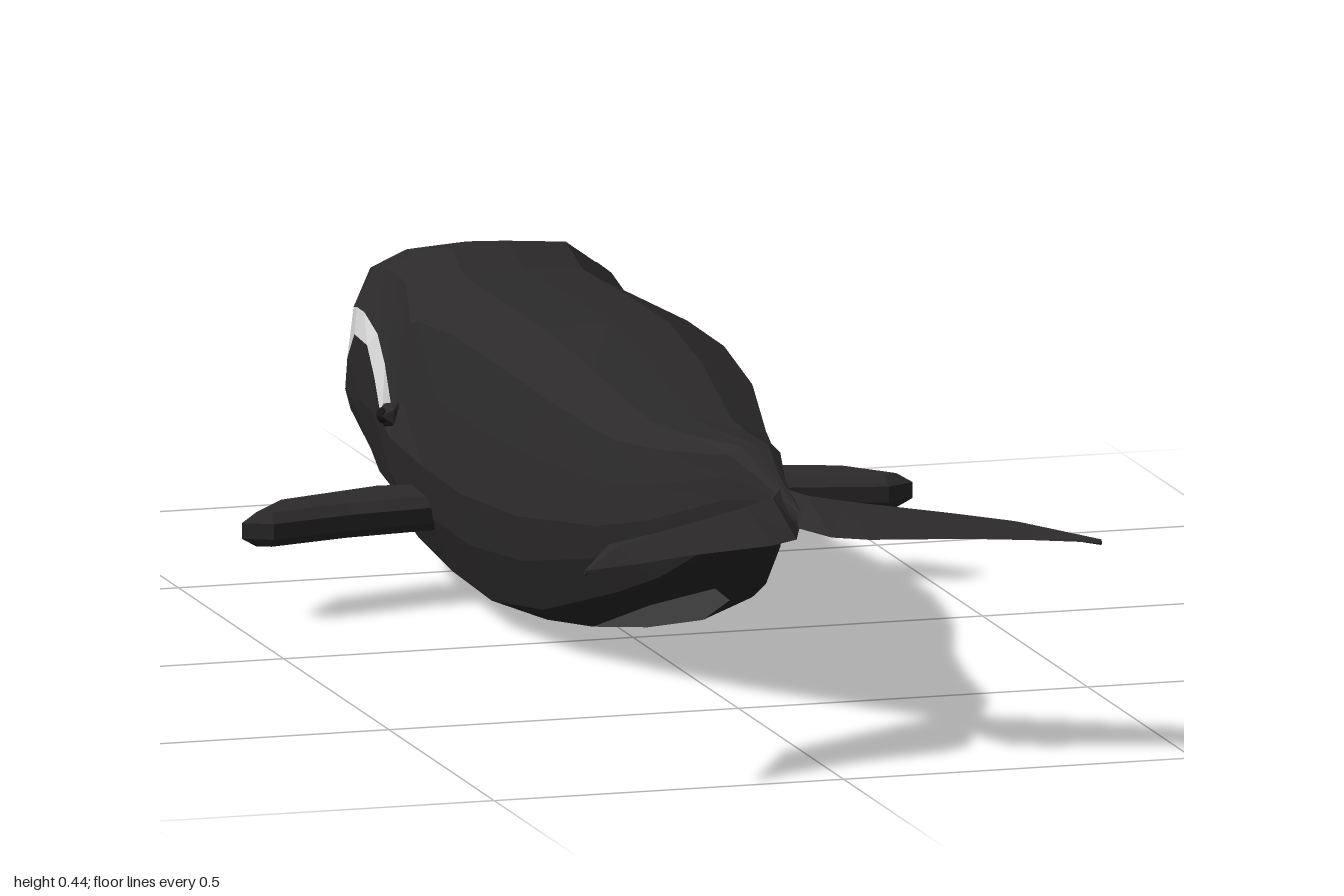
import * as THREE from 'three';

const mat = (color) => new THREE.MeshStandardMaterial({ color, flatShading: true, roughness: 0.9 });
const skin = mat(0x2c2a2b), bellyMat = mat(0x8a8a8a), baleenMat = mat(0xdcdcdc), eyeMat = mat(0x161616);

// Body stations, tail to head: z, half width, top y, bottom y, [upper lip y, lower lip y]
const STATIONS = [
  [0.79, 0.003, 0.335, 0.318],
  [0.66, 0.022, 0.362, 0.298],
  [0.58, 0.045, 0.388, 0.25],
  [0.39, 0.1, 0.37, 0.148],
  [0.27, 0.136, 0.366, 0.1],
  [0.07, 0.187, 0.4, 0.03],
  [-0.12, 0.208, 0.42, 0.002],
  [-0.3, 0.21, 0.419, 0.008],
  [-0.47, 0.206, 0.415, 0.022, 0.25, 0.2],
  [-0.52, 0.203, 0.414, 0.028, 0.216, 0.212],
  [-0.59, 0.193, 0.44, 0.036, 0.278, 0.262],
  [-0.64, 0.188, 0.43, 0.041, 0.31, 0.295],
  [-0.73, 0.179, 0.412, 0.05, 0.322, 0.292],
  [-0.8, 0.168, 0.397, 0.083, 0.315, 0.245],
  [-0.87, 0.15, 0.38, 0.112, 0.3, 0.186],
  [-0.94, 0.115, 0.352, 0.13, 0.28, 0.165],
  [-0.98, 0.07, 0.315, 0.138, 0.268, 0.152],
  [-1.0, 0.001, 0.29, 0.14, 0.264, 0.147],
];

// Half cross-section from the middle of the back down to the middle of the belly
function section([z, w, t, b, u = b + 0.68 * (t - b), l = b + 0.45 * (t - b)]) {
  const head = z < -0.55;
  const uz = z < -0.96 ? z + 0.012 : z; // upper jaw sits slightly behind the lower one
  return [
    [0, t, uz],
    [0.42 * w, t - 0.015 * (t - b), uz],
    [(head ? 0.76 : 0.8) * w, t - 0.33 * (t - u), uz],
    [0.92 * w, u, uz],
    [w, l, z],
    [0.95 * w, b + 0.62 * (l - b), z],
    [0.8 * w, b + 0.2 * (l - b), z],
    [0.42 * w, b + 0.015 * (t - b), z],
    [0, b, z],
  ];
}

// Adds a triangle and its mirror image
function tri(list, a, b, c) {
  list.push(...a, ...b, ...c);
  for (const p of [a, c, b]) list.push(-p[0], p[1], p[2]);
}

function meshFrom(name, list, material) {
  const g = new THREE.BufferGeometry();
  g.setAttribute('position', new THREE.Float32BufferAttribute(list, 3));
  g.computeVertexNormals();
  const m = new THREE.Mesh(g, material);
  m.name = name;
  return m;
}

// Lofted body, split into dark skin, pale belly patch and baleen
function addBody(group) {
  const body = [], belly = [], baleen = [];
  const rings = STATIONS.map(section);
  for (let j = 0; j < rings.length - 1; j++) {
    const z = STATIONS[j][0];
    for (let i = 0; i < 8; i++) {
      const a = rings[j][i], c = rings[j][i + 1], b = rings[j + 1][i], d = rings[j + 1][i + 1];
      const isBelly = i === 7 && z <= 0.39 && z > -0.47;
      const list = isBelly ? belly : i === 3 && z <= -0.52 ? baleen : body;
      tri(isBelly && z === 0.39 ? body : list, a, c, b); // the patch starts in a point
      tri(list, c, d, b);
    }
  }
  group.add(meshFrom('body', body, skin), meshFrom('bellyPatch', belly, bellyMat), meshFrom('baleen', baleen, baleenMat));
}

// Tail flukes: diamond sections from root to tip (x, leading z, trailing z, top y)
function addFlukes(group) {
  const list = [];
  const loops = [
    [0, 0.65, 0.79, 0.352], [0.025, 0.67, 0.86, 0.347], [0.07, 0.695, 0.89, 0.342],
    [0.2, 0.775, 0.922, 0.33], [0.285, 0.83, 0.957, 0.322], [0.37, 0.995, 1.0, 0.315],
  ].map(([x, lead, trail, top]) => {
    const mid = lead + 0.4 * (trail - lead);
    return [[x, 0.314, lead], [x, top, mid], [x, 0.311, trail], [x, 0.307, mid]];
  });
  for (let j = 0; j < loops.length - 1; j++) {
    for (let i = 0; i < 4; i++) {
      const k = (i + 1) % 4;
      tri(list, loops[j][i], loops[j][k], loops[j + 1][i]);
      tri(list, loops[j][k], loops[j + 1][k], loops[j + 1][i]);
    }
  }
  const last = loops[loops.length - 1];
  tri(list, last[0], last[1], last[2]);
  tri(list, last[0], last[2], last[3]);
  group.add(meshFrom('tailFlukes', list, skin));
}

// Bevelled paddle flippers, outline drawn in x and z
function addFlipper(group, side) {
  const outline = [[0.15, -0.4], [0.25, -0.41], [0.41, -0.355], [0.48, -0.265], [0.44, -0.245], [0.32, -0.275], [0.15, -0.295]];
  const pts = outline.map(([x, z]) => new THREE.Vector2(side * x, z));
  const g = new THREE.ExtrudeGeometry(new THREE.Shape(pts), {
    depth: 0.022, bevelEnabled: true, bevelSize: 0.016, bevelOffset: -0.016, bevelThickness: 0.013, bevelSegments: 1,
  });
  g.rotateX(Math.PI / 2); // shape y becomes z, depth goes down
  const m = new THREE.Mesh(g, skin);
  m.name = side > 0 ? 'leftFlipper' : 'rightFlipper';
  m.position.y = 0.138;
  group.add(m);
}

function addEye(group, side) {
  const lid = new THREE.Mesh(new THREE.IcosahedronGeometry(0.019, 0), skin);
  const eye = new THREE.Mesh(new THREE.IcosahedronGeometry(0.012, 1), eyeMat);
  lid.name = 'eyelid';
  eye.name = 'eyeball';
  eye.position.x = side * 0.009;
  const g = new THREE.Group();
  g.name = side > 0 ? 'leftEye' : 'rightEye';
  g.position.set(side * 0.197, 0.227, -0.497);
  g.add(lid, eye);
  group.add(g);
}

export function createModel() {
  const group = new THREE.Group();
  group.name = 'whale';
  addBody(group);
  addFlukes(group);
  for (const side of [1, -1]) {
    addFlipper(group, side);
    addEye(group, side);
  }
  return group;
}
